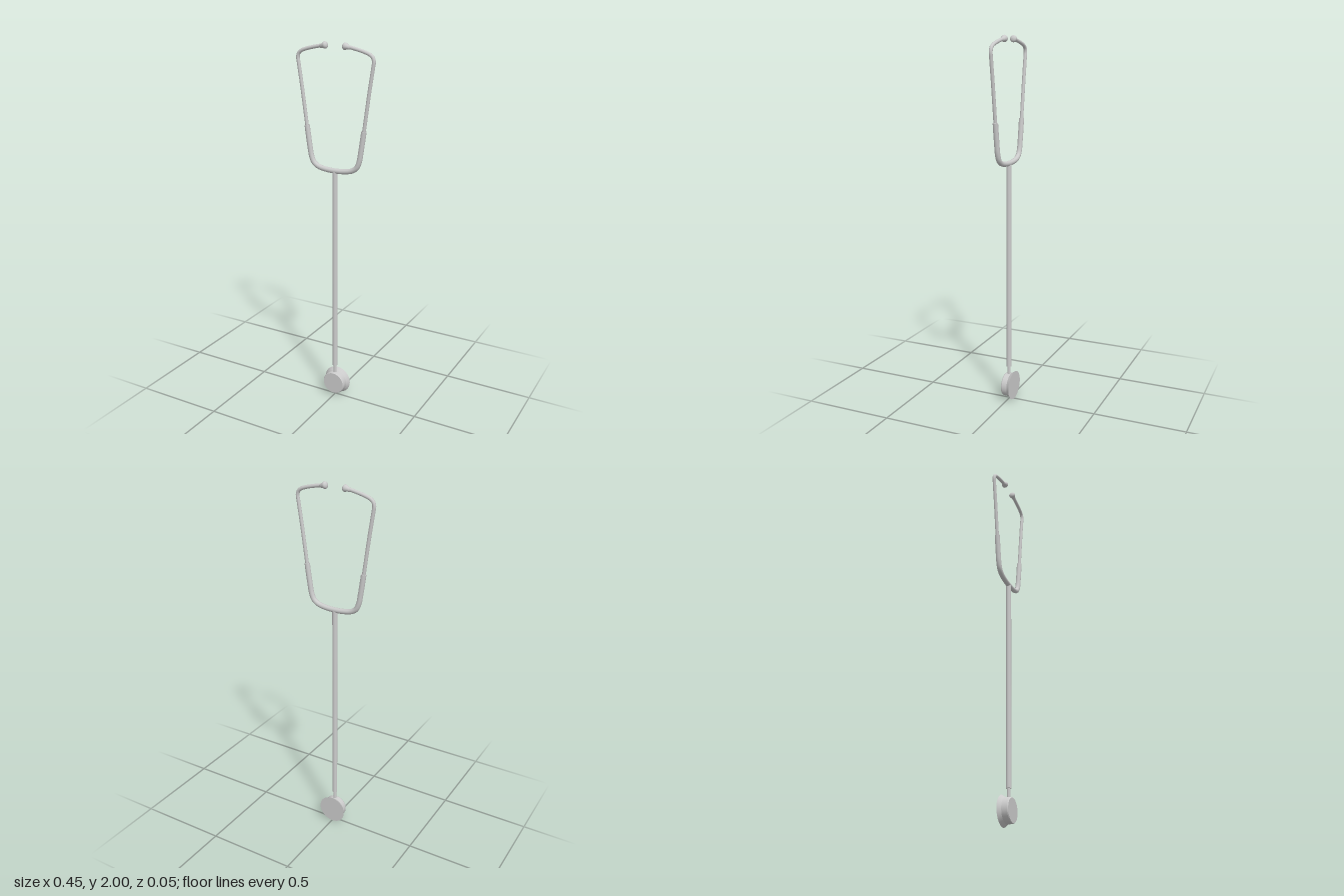
import * as THREE from 'three';

const Z = 0.005; // depth of the tubing plane
const material = new THREE.MeshStandardMaterial({ color: 0xcccccc, side: THREE.DoubleSide });

export function createModel() {
  const model = new THREE.Group();

  const add = (name, geometry) => {
    const mesh = new THREE.Mesh(geometry, material);
    mesh.name = name;
    model.add(mesh);
    return mesh;
  };

  // Bent tube through x, y points, closed with a flat disc at each end
  const bentTube = (name, points, radius, segments) => {
    const curve = new THREE.CatmullRomCurve3(points.map(([x, y]) => new THREE.Vector3(x, y, Z)));
    add(name, new THREE.TubeGeometry(curve, segments, radius, 12));
    for (const t of [0, 1]) {
      const cap = add(name + 'Cap', new THREE.CircleGeometry(radius, 12));
      const outward = curve.getTangentAt(t).multiplyScalar(t ? 1 : -1);
      cap.position.copy(curve.getPointAt(t));
      cap.quaternion.setFromUnitVectors(new THREE.Vector3(0, 0, 1), outward);
    }
  };

  // Upright rod between two heights
  const rod = (name, radius, y0, y1) => {
    const mesh = add(name, new THREE.CylinderGeometry(radius, radius, y1 - y0, 16));
    mesh.position.set(0, (y0 + y1) / 2, Z);
  };

  // Chest piece: straight drum with a flared rim at the back
  const profile = (points) => points.map(([r, h]) => new THREE.Vector2(r, h));
  const chest = new THREE.Group();
  chest.name = 'chestPiece';
  const sections = {
    flaredRim: [[0.08, -0.027], [0.066, -0.008]],
    drum: [[0.066, -0.008], [0.065, 0.022]],
    frontBevel: [[0.065, 0.022], [0.062, 0.027]],
    frontFace: [[0.062, 0.027], [0, 0.027]],
    diaphragm: [[0, -0.027], [0.08, -0.027]],
  };
  for (const [name, points] of Object.entries(sections)) {
    const mesh = new THREE.Mesh(new THREE.LatheGeometry(profile(points), 40), material);
    mesh.name = name;
    chest.add(mesh);
  }
  chest.rotation.x = Math.PI / 2;
  chest.position.y = 0.08;
  model.add(chest);

  // Stem and long tube
  rod('stem', 0.009, 0.13, 0.2);
  rod('mainTube', 0.014, 0.19, 1.338);

  // Thick yoke joining both arms
  const half = [[0.167, 1.565], [0.16, 1.515], [0.151, 1.455], [0.142, 1.405],
    [0.127, 1.371], [0.1, 1.352], [0.055, 1.342]];
  const mirrored = half.map(([x, y]) => [-x, y]).reverse();
  bentTube('yoke', [...half, [0, 1.339], ...mirrored], 0.014, 72);

  // Thin metal arms with flared ear tips
  const arm = [[0.163, 1.53], [0.179, 1.65], [0.197, 1.78], [0.213, 1.885],
    [0.217, 1.915], [0.211, 1.935], [0.195, 1.948], [0.165, 1.959], [0.125, 1.969], [0.075, 1.979]];
  const tip = [[0, 0], [0.0095, 0], [0.0115, 0.012], [0.0175, 0.025], [0.0185, 0.03],
    [0.0175, 0.035], [0.014, 0.039], [0.008, 0.042], [0, 0.043]];
  for (const [side, s] of [['left', 1], ['right', -1]]) {
    bentTube(side + 'Arm', arm.map(([x, y]) => [s * x, y]), 0.0095, 60);
    const ear = add(side + 'EarTip', new THREE.LatheGeometry(profile(tip), 20));
    ear.position.set(s * 0.086, 1.975, Z);
    ear.quaternion.setFromUnitVectors(new THREE.Vector3(0, 1, 0),
      new THREE.Vector3(-s, 0.22, 0).normalize());
  }

  return model;
}
